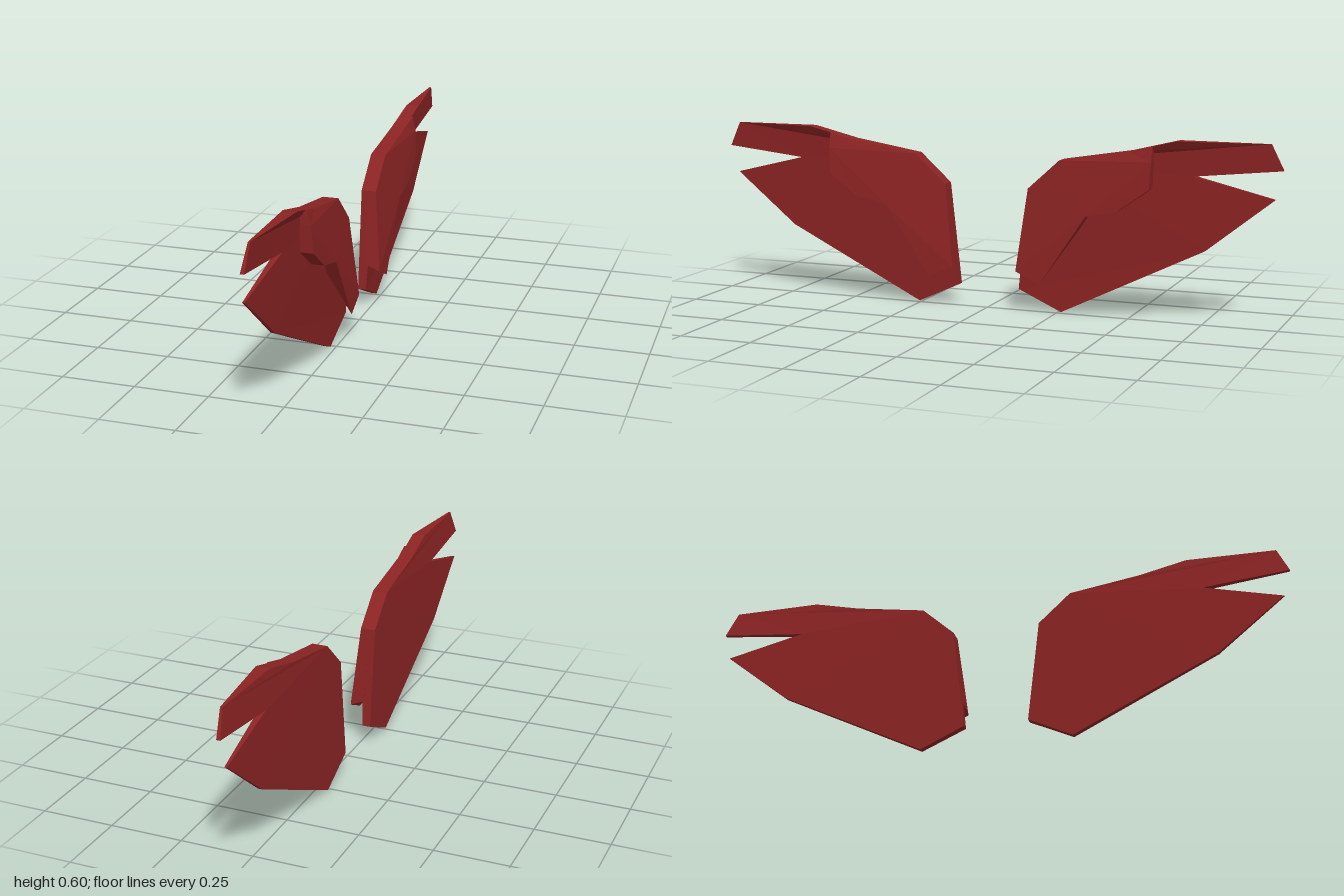
import * as THREE from 'three';

// Main blade outline: [z, y, back x, front x], going over the top and back underneath
const BLADE = [
  [0.11, 0.07, -0.04, -0.012], [0.15, 0.42, -0.04, 0.008], [0.26, 0.52, -0.04, 0.008],
  [0.5, 0.56, -0.035, 0.01], [0.66, 0.6, -0.028, 0.018], [0.96, 0.6, -0.022, -0.015],
  [1.0, 0.515, -0.033, -0.02], [0.71, 0.485, -0.036, -0.013], [0.975, 0.42, -0.038, -0.03],
  [0.75, 0.24, -0.04, -0.024], [0.26, 0, -0.04, -0.018],
];

// Raised plate: [z, y, base x, front x, base z, base y]
const PLATE = [
  [0.115, 0.14, -0.012, 0.036, 0.118, 0.16], [0.15, 0.42, -0.02, 0.012], [0.26, 0.52, -0.02, 0.012],
  [0.5, 0.56, -0.02, 0.014], [0.58, 0.58, -0.02, 0.02], [0.58, 0.53, -0.02, 0.031],
  [0.575, 0.44, -0.02, 0.037], [0.47, 0.365, -0.02, 0.037], [0.36, 0.34, -0.02, 0.037],
  [0.2, 0.1, -0.012, 0.037, 0.18, 0.16],
];

// Closed slab between a back and a front outline; side -1 mirrors it in z
function slab(points, side) {
  const back = points.map(([z, y, xb, , zb = z, yb = y]) => [xb, yb, zb * side]);
  const front = points.map(([z, y, , xf]) => [xf, y, z * side]);
  const pos = [];
  const tri = (a, b, c) => pos.push(...(side > 0 ? [a, b, c] : [a, c, b]).flat());
  const cap = (ring) => THREE.ShapeUtils.triangulateShape(
    ring.map((p) => new THREE.Vector2(-p[2] * side, p[1])), []);
  for (const [a, b, c] of cap(front)) tri(front[a], front[b], front[c]);
  for (const [a, b, c] of cap(back)) tri(back[c], back[b], back[a]);
  points.forEach((_, i) => {
    const j = (i + 1) % points.length;
    tri(back[i], back[j], front[j]);
    tri(back[i], front[j], front[i]);
  });
  const geo = new THREE.BufferGeometry();
  geo.setAttribute('position', new THREE.Float32BufferAttribute(pos, 3));
  geo.computeVertexNormals();
  return geo;
}

export function createModel() {
  const model = new THREE.Group();
  model.name = 'wingPair';
  const red = new THREE.MeshStandardMaterial({ color: 0x8b2323 });
  red.name = 'darkRed';
  red.flatShading = true;

  // Two mirrored wings, each a forked blade with a raised plate
  for (const [side, label] of [[1, 'front'], [-1, 'back']]) {
    const wing = new THREE.Group();
    wing.name = label + 'Wing';
    for (const [name, outline] of [['Blade', BLADE], ['RaisedPlate', PLATE]]) {
      const mesh = new THREE.Mesh(slab(outline, side), red);
      mesh.name = label + name;
      wing.add(mesh);
    }
    model.add(wing);
  }
  return model;
}
